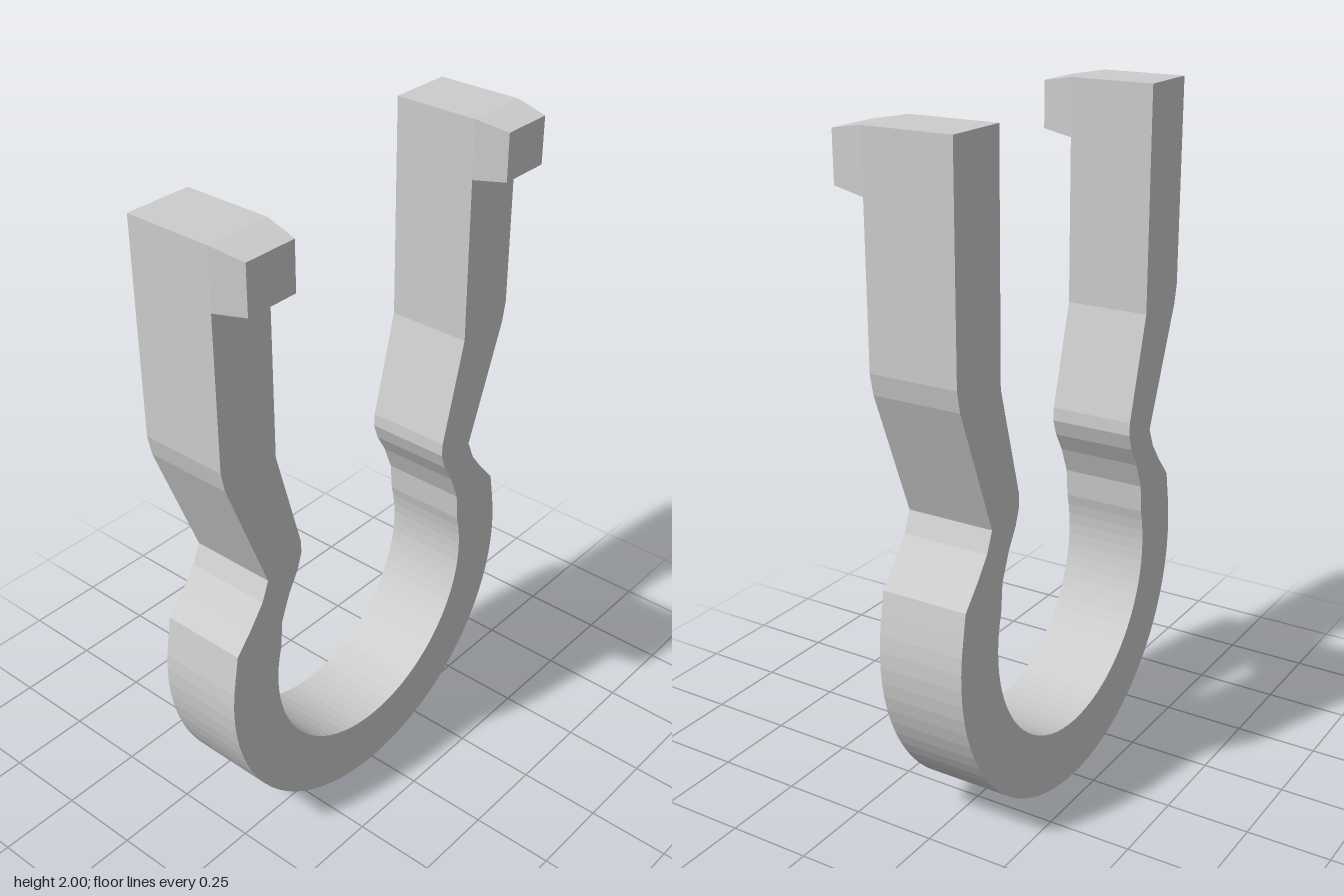
import * as THREE from 'three';

const BACK = -0.18, FACE = 0.08, TIP = 0.18;

// Points along the lower loop from the right end, through the bottom, to the left end
function arc(radius, centreY, startAngle, steps) {
  const points = [];
  for (let i = 0; i <= steps; i++) {
    const a = startAngle - (i / steps) * (Math.PI + 2 * startAngle);
    points.push([radius * Math.cos(a), centreY + radius * Math.sin(a)]);
  }
  return points;
}

const mirror = (points) => points.map(([x, y]) => [-x, y]).reverse();

// Tapered block from a rectangle at FACE to a smaller one at TIP
function hookGeometry() {
  const geometry = new THREE.BoxGeometry(0.195, 0.17, TIP - FACE);
  const p = geometry.attributes.position;
  for (let i = 0; i < p.count; i++) {
    if (p.getZ(i) > 0) {
      p.setX(i, p.getX(i) * 0.82);
      p.setY(i, p.getY(i) > 0 ? 0.068 : -0.07);
    }
  }
  geometry.computeVertexNormals();
  return geometry;
}

export function createModel() {
  const group = new THREE.Group();
  const grey = new THREE.MeshStandardMaterial({ color: 0xcccccc });
  grey.name = 'light grey';

  // Constant-depth spring clip: two arms, pinched neck and round loop
  const outer = [[0.59, 2], [0.59, 1.39], [0.578, 1.33], [0.44, 0.97], [0.465, 0.91], [0.51, 0.85], [0.567, 0.785]];
  const inner = [[0.395, 2], [0.395, 1.34], [0.31, 1.03], [0.308, 0.99], [0.325, 0.94], [0.36, 0.88], [0.392, 0.8]];
  const outerLine = [...outer, ...arc(0.592, 0.592, 0.2, 44), ...mirror(outer)];
  const innerLine = [...inner, ...arc(0.415, 0.6, 0.28, 44), ...mirror(inner)];
  const outline = [...outerLine, ...innerLine.reverse()];
  const shape = new THREE.Shape(outline.map(([x, y]) => new THREE.Vector2(x, y)));
  const clipGeometry = new THREE.ExtrudeGeometry(shape, { depth: FACE - BACK, bevelEnabled: false });
  const clip = new THREE.Mesh(clipGeometry, grey);
  clip.name = 'springClip';
  clip.position.z = BACK;
  group.add(clip);

  // Forward hooks at the arm ends
  for (const side of [-1, 1]) {
    const hook = new THREE.Mesh(hookGeometry(), grey);
    hook.name = side > 0 ? 'leftHook' : 'rightHook';
    hook.position.set(side * 0.4925, 1.915, (FACE + TIP) / 2);
    group.add(hook);
  }
  return group;
}
